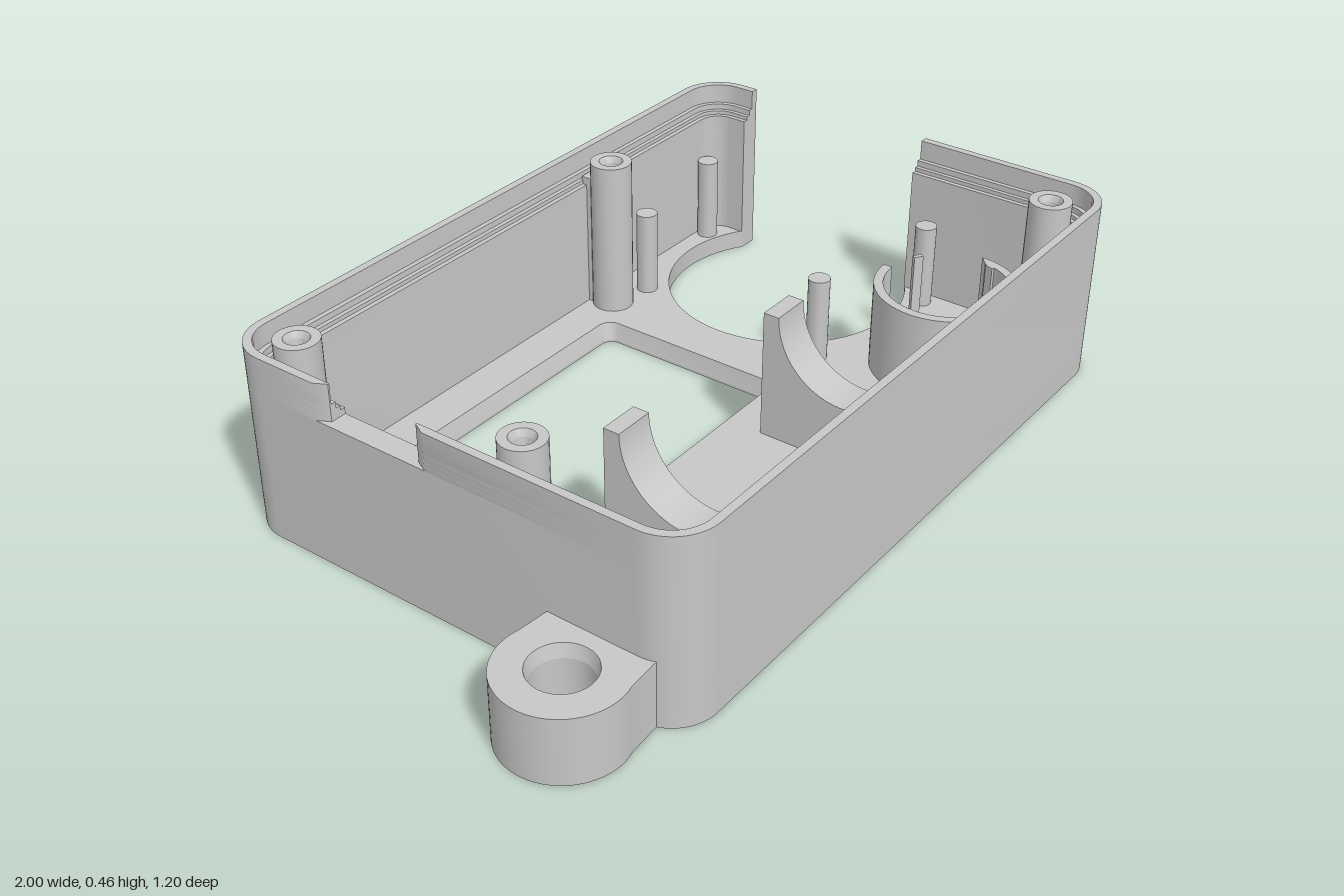
import * as THREE from 'three';
import { toCreasedNormals } from 'three/addons/utils/BufferGeometryUtils.js';

const grey = new THREE.MeshStandardMaterial({ color: 0xc7c7c7 });
grey.name = 'grey plastic';

// Plan points are [x, z]; shapes are extruded upward from y0 to y1.
const toPath = (pts, Type = THREE.Shape) => new Type(pts.map(([x, z]) => new THREE.Vector2(x, -z)));

function arc(cx, cz, r, from, to, n = 16) {
  const pts = [];
  for (let i = 0; i <= n; i++) {
    const a = THREE.MathUtils.degToRad(from + ((to - from) * i) / n);
    pts.push([cx + r * Math.cos(a), cz + r * Math.sin(a)]);
  }
  return pts;
}

const circle = (cx, cz, r, n = 32) => arc(cx, cz, r, 0, 360, n).slice(0, -1);

function roundRect(x0, x1, z0, z1, r) {
  return [
    ...arc(x1 - r, z1 - r, r, 0, 90, 8), ...arc(x0 + r, z1 - r, r, 90, 180, 8),
    ...arc(x0 + r, z0 + r, r, 180, 270, 8), ...arc(x1 - r, z0 + r, r, 270, 360, 8),
  ];
}

export function createModel() {
  const model = new THREE.Group();
  model.name = 'enclosureHalf';

  const add = (name, geo) => {
    const mesh = new THREE.Mesh(toCreasedNormals(geo, 0.5), grey);
    mesh.name = name;
    model.add(mesh);
    return mesh;
  };
  // Holes run against the outline so that their walls face into the opening
  const slab = (name, pts, y0, y1, holes = []) => {
    const shape = toPath(pts);
    shape.holes = holes.map((h) => toPath([...h].reverse(), THREE.Path));
    const geo = new THREE.ExtrudeGeometry(shape, { depth: y1 - y0, bevelEnabled: false });
    return add(name, geo.rotateX(-Math.PI / 2).translate(0, y0, 0));
  };
  const box = (name, x0, x1, y0, y1, z0, z1) =>
    add(name, new THREE.BoxGeometry(x1 - x0, y1 - y0, z1 - z0)
      .translate((x0 + x1) / 2, (y0 + y1) / 2, (z0 + z1) / 2));
  // Sloping wall inside a hole, joining a lower loop to a wider upper loop
  const taper = (name, low, y0, high, y1) => {
    const n = low.length, pos = [], index = [];
    for (let i = 0; i < n; i++) {
      pos.push(low[i][0], y0, low[i][1], high[i][0], y1, high[i][1]);
      const a = 2 * i, b = 2 * ((i + 1) % n);
      index.push(a, b, a + 1, b, b + 1, a + 1);
    }
    const geo = new THREE.BufferGeometry();
    geo.setAttribute('position', new THREE.Float32BufferAttribute(pos, 3));
    geo.setIndex(index);
    add(name, geo);
  };

  // Case outline, inset by t, as a front half and a back half
  const R = 0.11, OPEN_FRONT = 0.073, OPEN_BACK = -0.445, MID = -0.18;
  const halfOutline = (t, front, gap = 0) => {
    const r = R - t, s = front ? 1 : -1;
    return [
      [1 - t, front ? OPEN_FRONT : OPEN_BACK],
      ...arc(1 - R, s * (0.6 - R), r, 0, s * 90), ...arc(-0.75 + R, s * (0.6 - R), r, s * 90, s * 180),
      [-0.75 + t, MID + s * gap],
    ];
  };

  // Floor with round bite, tapered window, small hole and vent slots
  const floorOutline = [
    ...halfOutline(0, true), ...halfOutline(0, false).reverse().slice(1),
    ...arc(0.78, -0.187, 0.31, -56.5, -303.5, 48),
  ];
  const floorHoles = [circle(-0.443, -0.49, 0.025)];
  for (const z of [0.275, 0.34, 0.405]) floorHoles.push(roundRect(0.56, 0.765, z - 0.017, z + 0.017, 0.0169));
  const windowLow = roundRect(-0.66, 0.335, -0.432, 0.058, 0.03);
  const windowHigh = roundRect(-0.672, 0.345, -0.443, 0.068, 0.035);
  slab('floorLower', floorOutline, 0, 0.006, [...floorHoles, windowLow]);
  slab('floorUpper', floorOutline, 0.006, 0.05, [...floorHoles, windowHigh]);
  taper('windowEdge', windowLow, 0.006, windowHigh, 0.05);

  // Walls, thinning in steps toward the rim; the left side has a flared notch at the top
  const layers = [
    [0.05, 0.365, 0.055, false], [0.365, 0.38, 0.055, true], [0.38, 0.39, 0.043, true],
    [0.39, 0.405, 0.032, true], [0.405, 0.455, 0.02, true],
  ];
  for (const [y0, y1, t, notch] of layers) {
    for (const front of [true, false]) {
      const flare = notch ? [[-0.734, MID + (front ? 0.12 : -0.12)]] : [];
      slab(front ? 'frontWall' : 'backWall', [
        ...halfOutline(0, front, notch ? 0.15 : 0), ...flare,
        ...halfOutline(t, front, notch ? 0.12 : 0).reverse(),
      ], y0, y1);
    }
  }

  // Mounting ear with a hole that widens toward the top
  const earOutline = [[-0.72, 0.53], [-0.75, 0.53], ...arc(-0.86, 0.4, 0.14, 75, 285, 40), [-0.75, 0.272], [-0.72, 0.272]];
  const earLow = circle(-0.86, 0.4, 0.065), earHigh = circle(-0.86, 0.4, 0.073);
  slab('mountingEar', earOutline, 0, 0.13, [earLow]);
  slab('mountingEarTop', earOutline, 0.13, 0.162, [earHigh]);
  taper('earHoleEdge', earLow, 0.13, earHigh, 0.162);

  // Screw posts with blind countersunk holes
  const postProfile = [[0.052, 0.04], [0.052, 0.45], [0.03, 0.45], [0.022, 0.435], [0.022, 0.12], [0, 0.12]]
    .map(([x, y]) => new THREE.Vector2(x, y));
  for (const [x, z] of [[-0.638, -0.49], [0.427, -0.49], [-0.638, 0.13], [0.884, 0.483]]) {
    add('screwPost', new THREE.LatheGeometry(postProfile, 28)).position.set(x, 0, z);
  }
  box('postRib', 0.397, 0.457, 0.05, 0.4, -0.56, -0.53);
  box('postRib', -0.705, -0.68, 0.05, 0.4, 0.1, 0.16);

  // Short locating pegs
  for (const [x, z] of [[0.537, -0.463], [0.882, -0.517], [0.512, 0.078], [0.903, 0.147]]) {
    add('locatingPeg', new THREE.CylinderGeometry(0.027, 0.027, 0.23, 24)).position.set(x, 0.155, z);
  }

  // Open ring around the vent with small clamping ribs
  slab('ventRing', [...arc(0.663, 0.342, 0.175, 0, 270, 48), ...arc(0.663, 0.342, 0.152, 270, 8, 48)], 0.05, 0.27);
  for (const [x, z, turn] of [[0.75, 0.212, -0.6], [0.597, 0.48, -0.5], [0.81, 0.38, 1.2]]) {
    const rib = add('clampRib', new THREE.BoxGeometry(0.024, 0.22, 0.012));
    rib.position.set(x, 0.16, z);
    rib.rotation.y = turn;
  }

  // Cradles with a round saddle, drawn in (z, y) and extruded across x
  const saddle = [[0.55, 0.04], [0.16, 0.04], [0.16, 0.37], [0.2, 0.37], ...arc(0.372, 0.37, 0.172, 180, 360, 28), [0.55, 0.37]];
  for (const x of [-0.328, 0.248]) {
    const shape = new THREE.Shape(saddle.map(([z, y]) => new THREE.Vector2(-z, y)));
    const geo = new THREE.ExtrudeGeometry(shape, { depth: 0.1, bevelEnabled: false });
    add('cradle', geo.rotateY(Math.PI / 2).translate(x - 0.1, 0, 0));
  }

  return model;
}
